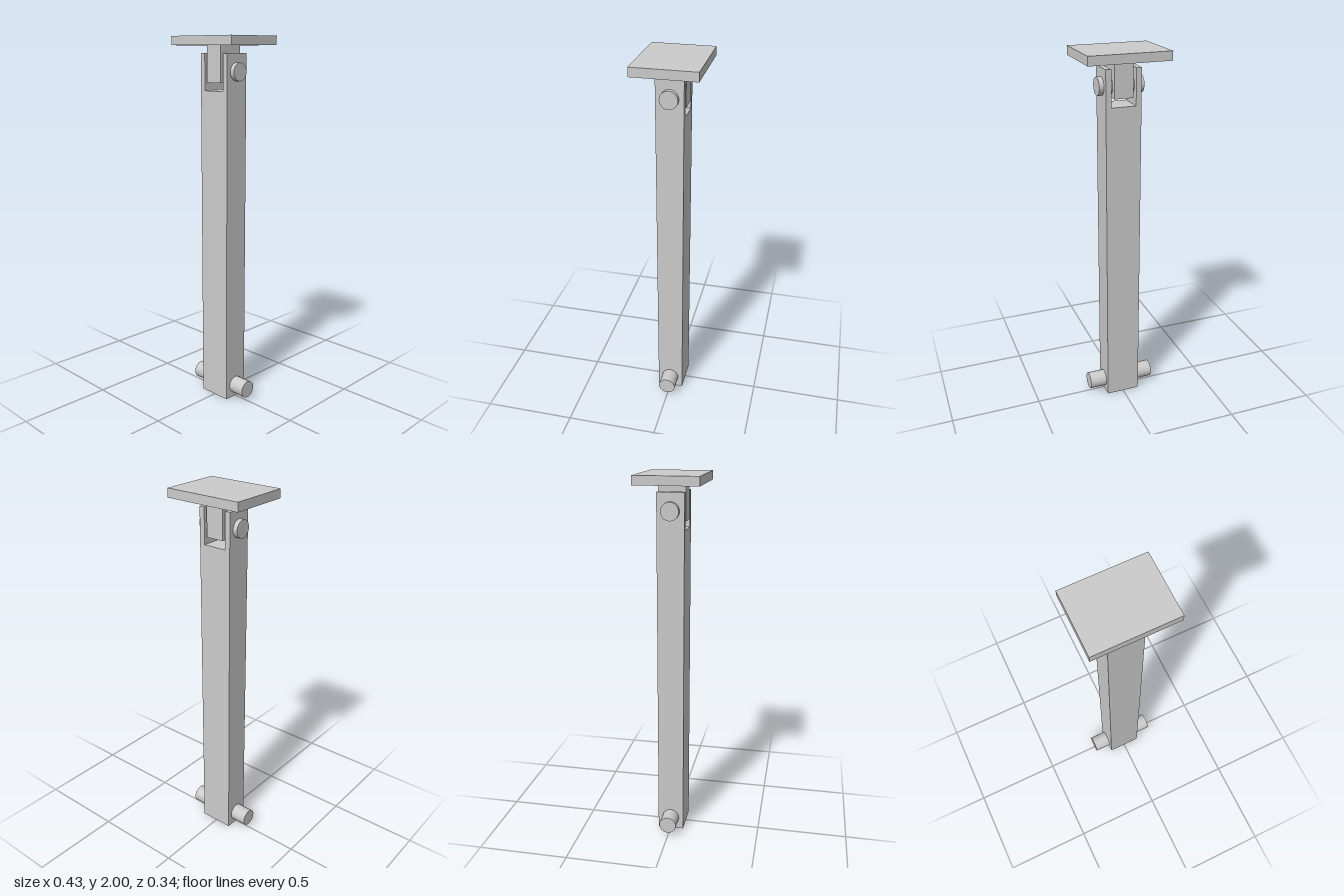
import * as THREE from 'three';

export function createModel() {
  const model = new THREE.Group();
  const material = new THREE.MeshStandardMaterial({ color: 0xcccccc });

  function add(name, geometry, y) {
    const mesh = new THREE.Mesh(geometry, material);
    mesh.name = name;
    mesh.position.y = y;
    model.add(mesh);
    return mesh;
  }

  // Round pin lying along x
  function addPin(name, length, y) {
    add(name, new THREE.CylinderGeometry(0.047, 0.047, length, 48).rotateZ(Math.PI / 2), y);
  }

  const depth = 0.144;
  const half = 0.095;
  const slot = 0.066;
  const forkTop = 1.913;
  const slotBottom = 1.722;

  // Square post with a forked upper end
  const profile = new THREE.Shape([
    [-half, 0], [half, 0], [half, forkTop], [slot, forkTop],
    [slot, slotBottom], [-slot, slotBottom], [-slot, forkTop], [-half, forkTop],
  ].map(([x, y]) => new THREE.Vector2(x, y)));
  const postGeometry = new THREE.ExtrudeGeometry(profile, { depth, bevelEnabled: false });
  add('forkedPost', postGeometry.translate(0, 0, -depth / 2), 0);

  // Hinged mounting plate and the lug under it
  add('topPlate', new THREE.BoxGeometry(0.434, 0.047, 0.335), 1.9765);
  add('hingeLug', new THREE.BoxGeometry(0.1, 0.19, depth), 1.859);

  // Hinge pin through the fork and foot pin through the post
  addPin('hingePin', 0.24, 1.82);
  addPin('footPin', 0.38, 0.07);

  return model;
}
